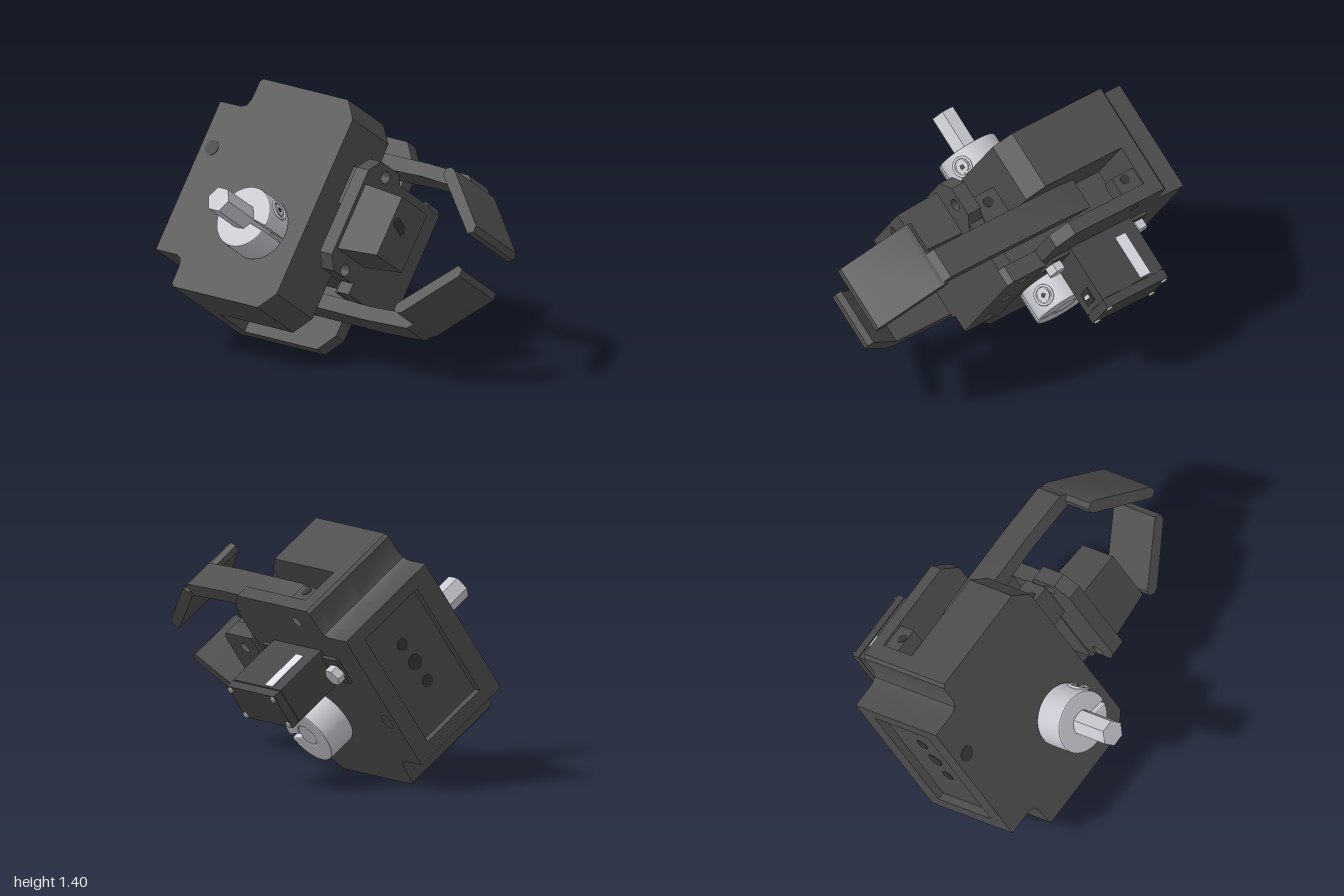
import * as THREE from 'three';
import { toCreasedNormals } from 'three/addons/utils/BufferGeometryUtils.js';

const mat = (name, color) => Object.assign(new THREE.MeshStandardMaterial({ color }), { name });

export function createModel() {
  const plastic = mat('dark grey plastic', 0x4e4e4e);
  const servoBlack = mat('servo charcoal', 0x464648);
  const hollow = mat('hole shadow', 0x363636);
  const metal = mat('pale steel', 0xc8c8d0);
  const white = mat('label white', 0xdedee8);

  // Local axes: x across the body (shaft axis), y along its length, z forward
  const model = new THREE.Group();
  model.name = 'gripper';
  const tilted = new THREE.Group();
  tilted.name = 'tiltedAssembly';
  tilted.position.y = 0.7;
  tilted.rotation.set(0, -0.06, -0.611, 'YXZ');
  model.add(tilted);

  const add = (name, geo, material) => {
    const m = new THREE.Mesh(geo, material);
    m.name = name;
    tilted.add(m);
    return m;
  };
  const box = (name, x0, x1, y0, y1, z0, z1, material = plastic) => {
    const m = add(name, new THREE.BoxGeometry(x1 - x0, y1 - y0, z1 - z0), material);
    m.position.set((x0 + x1) / 2, (y0 + y1) / 2, (z0 + z1) / 2);
    return m;
  };
  const circle = (x, y, r) => new THREE.Path().absarc(x, y, r, 0, Math.PI * 2, true);
  const extrude = (shape, depth) => toCreasedNormals(
    new THREE.ExtrudeGeometry(shape, { depth, bevelEnabled: false, curveSegments: 24 }), 0.6);
  // Cylinder or prism pointing along a direction
  const rod = (name, r, len, pos, dir, material, sides = 24) => {
    const geo = toCreasedNormals(new THREE.CylinderGeometry(r, r, len, sides), 0.6);
    const m = add(name, geo, material);
    m.position.set(...pos);
    m.quaternion.setFromUnitVectors(new THREE.Vector3(0, 1, 0), new THREE.Vector3(...dir).normalize());
    return m;
  };
  // Side profile of [z, y] pairs extruded across x; holes [z, y, r] get a dark floor
  const side = (name, pts, x0, x1, holes = []) => {
    const s = new THREE.Shape(pts.map(([z, y]) => new THREE.Vector2(-z, y)));
    for (const [z, y, r] of holes) {
      s.holes.push(circle(-z, y, r));
      rod(name + 'HoleFloor', r, 0.006, [x0 + 0.004, y, z], [1, 0, 0], hollow);
    }
    add(name, extrude(s, x1 - x0).rotateY(Math.PI / 2), plastic).position.x = x0;
  };
  // Outline in x, y extruded forward
  const front = (name, shape, z0, z1) => {
    add(name, extrude(shape, z1 - z0), plastic).position.z = z0;
  };

  // Body: profile from the front to the stepped back, top half then bottom half
  const TOP = 0.615, BOTTOM = 0.64;
  const profile = (zFront, chamfer) => {
    const half = h => [[zFront, h - chamfer], [zFront - chamfer * 0.9, h], [-0.74, h], [-0.757, h - 0.017],
      [-0.76, h - 0.13], [-0.775, h - 0.165], [-0.81, h - 0.18], [-0.92, h - 0.18]];
    return [...half(TOP), ...half(BOTTOM).map(([z, y]) => [z, -y]).reverse()];
  };
  const L = -0.36, R = 0.295, S0 = -0.015, S1 = 0.217;
  side('mainBlock', profile(-0.02, 0.1), L, S0);
  side('slotFloor', profile(-0.65, 0), S0, S1);
  side('sidePlate', profile(-0.02, 0.1), S1, R, [[-0.575, 0.51, 0.03], [-0.885, -0.16, 0.045]]);
  box('slotCore', S0, S1, -0.28, 0.28, -0.65, -0.02);
  box('slotLug', 0.11, S1, 0.5, 0.6, -0.65, -0.5);
  rod('slotLugHole', 0.028, 0.006, [0.145, 0.6, -0.57], [0, 1, 0], hollow);

  // Back rim around a shallow pocket
  const rect = (C, x0, x1, y0, y1) => new C([[x0, y0], [x1, y0], [x1, y1], [x0, y1]].map(p => new THREE.Vector2(...p)));
  const rim = rect(THREE.Shape, L, R, -BOTTOM + 0.18, TOP - 0.18);
  rim.holes.push(rect(THREE.Path, -0.24, 0.19, -0.38, 0.36));
  front('backRim', rim, -0.965, -0.92);
  for (const [x, y, r] of [[-0.01, 0.145, 0.035], [-0.02, 0.01, 0.045], [-0.025, -0.13, 0.035]])
    rod('pocketHole', r, 0.006, [x, y, -0.921], [0, 0, 1], hollow);
  rod('leftSideHole', 0.045, 0.006, [L, 0.17, -0.885], [1, 0, 0], hollow);

  // Front bracket: side flange with three blind holes, its core and a front web
  const flange = [[-0.03, -0.38], [0.2, -0.38], [0.23, -0.35], [0.23, 0.28], [0.2, 0.31], [-0.03, 0.31]];
  side('bracketSide', flange, 0.22, 0.32, [[0.09, 0.22, 0.03], [0.09, -0.03, 0.03], [0.09, -0.29, 0.03]]);
  box('bracketCore', 0.08, 0.22, -0.34, 0.28, -0.03, 0.14);
  box('bracketFront', -0.1, 0.22, -0.38, 0.29, 0.14, 0.23);
  box('bracketLug', -0.2, -0.04, 0.08, 0.3, -0.02, 0.14);
  rod('lugHole', 0.03, 0.006, [-0.14, 0.3, 0.06], [0, 1, 0], hollow);

  // Front module: eight-cornered mounting plate and a tapered housing
  const plate = new THREE.Shape([[-0.29, -0.32], [-0.12, -0.32], [-0.05, -0.25], [-0.05, 0.26], [-0.12, 0.34],
    [-0.29, 0.34], [-0.36, 0.26], [-0.36, -0.25]].map(p => new THREE.Vector2(...p)));
  for (const s of [-1, 1]) plate.holes.push(circle(-0.21, s * 0.28, 0.035));
  front('modulePlate', plate, 0.145, 0.235);
  const housing = new THREE.BoxGeometry(0.265, 0.39, 0.285);
  const hp = housing.attributes.position;
  for (let i = 0; i < hp.count; i++)
    if (hp.getZ(i) > 0) hp.setXY(i, hp.getX(i) * 0.92, hp.getY(i) * 0.9);
  housing.computeVertexNormals();
  add('moduleHousing', housing, plastic).position.set(-0.205, -0.01, 0.3675);
  const port = add('modulePort', new THREE.CapsuleGeometry(0.025, 0.07, 6, 12).scale(1, 1, 0.15), hollow);
  port.position.set(-0.25, 0.02, 0.51);
  port.rotation.z = 1.2;

  // Fingers: straight bar with a wide, inward-leaning tip
  const finger = (name, s, barX0, barX1, tipX0, tipX1, bend, end) => {
    const pts = a => a.map(([z, y]) => [z, s * y]);
    side(name + 'Bar', pts([[-0.4, 0.42], [-0.25, 0.37], [0.3, 0.385], [bend - 0.01, 0.37],
      [bend + 0.03, 0.415], [bend - 0.02, 0.455], [0.3, 0.465], [-0.25, 0.46]]), barX0, barX1);
    side(name + 'Tip', pts([[bend - 0.015, 0.375], [bend + 0.005, 0.355], [end - 0.035, 0.085],
      [end, 0.1], [end, 0.14], [bend + 0.045, 0.415], [bend + 0.015, 0.425],
      [bend - 0.015, 0.41]]), tipX0, tipX1);
  };
  finger('upperFinger', 1, -0.015, 0.165, -0.21, 0.18, 0.63, 0.985);
  finger('lowerFinger', -1, 0.02, 0.195, -0.14, 0.195, 0.63, 0.955);

  // Shaft and the two split clamping collars
  const AY = -0.21, AZ = -0.31;
  rod('hexShaft', 0.075, 0.42, [-0.57, AY, AZ], [1, 0, 0], metal, 6);
  rod('shaftCore', 0.064, 0.82, [0.06, AY, AZ], [1, 0, 0], metal);
  const collar = (name, x0, x1) => {
    const ring = new THREE.Shape();
    ring.absarc(0, 0, 0.168, Math.PI + 0.13, Math.PI * 3 - 0.13, false);
    ring.absarc(0, 0, 0.075, Math.PI * 3 - 0.29, Math.PI + 0.29, true);
    const b = 0.01;
    const geo = new THREE.ExtrudeGeometry(ring, { depth: x1 - x0 - 2 * b, bevelThickness: b, bevelSize: b,
      bevelSegments: 2, curveSegments: 48 });
    const m = add(name, toCreasedNormals(geo, 0.3).rotateY(Math.PI / 2), metal);
    m.position.set(x0 + b, AY, AZ);
    m.rotation.x = 0.2;
    // Clamp screw in a raised ring on the rim
    const mid = (x0 + x1) / 2, d = [0, 0.6, 0.8];
    const at = r => [mid, AY + d[1] * r, AZ + d[2] * r];
    const ringMesh = add(name + 'ScrewRing', new THREE.TorusGeometry(0.052, 0.008, 8, 28), metal);
    ringMesh.position.set(...at(0.178));
    ringMesh.quaternion.setFromUnitVectors(new THREE.Vector3(0, 0, 1), new THREE.Vector3(...d));
    rod(name + 'Screw', 0.036, 0.022, at(0.172), d, metal);
    rod(name + 'ScrewSocket', 0.015, 0.006, at(0.182), d, hollow, 6);
  };
  collar('leftShaftCollar', -0.54, L);
  collar('rightShaftCollar', R, 0.475);

  // Servo with ears, hex bolts, label, socket and corner screws
  box('servoBody', R, 0.63, 0.09, 0.315, -0.645, -0.215, servoBlack);
  box('servoCap', 0.636, 0.685, 0.09, 0.315, -0.645, -0.215, servoBlack);
  box('servoSeam', 0.62, 0.65, 0.094, 0.311, -0.641, -0.219, hollow);
  box('servoEars', R, 0.315, 0.11, 0.28, -0.77, -0.1, servoBlack);
  for (const z of [-0.725, -0.14]) rod('earBolt', 0.055, 0.05, [0.34, 0.19, z], [1, 0, 0], metal, 6);
  box('servoLabel', 0.36, 0.62, 0.314, 0.319, -0.56, -0.49, white);
  box('servoSocket', 0.52, 0.6, 0.155, 0.245, -0.217, -0.21, hollow);
  box('servoSocketPin', 0.55, 0.57, 0.175, 0.225, -0.211, -0.207, white);
  for (const y of [0.112, 0.293])
    for (const z of [-0.623, -0.237]) rod('cornerScrew', 0.018, 0.02, [0.684, y, z], [1, 0, 0], metal, 12);

  return model;
}
